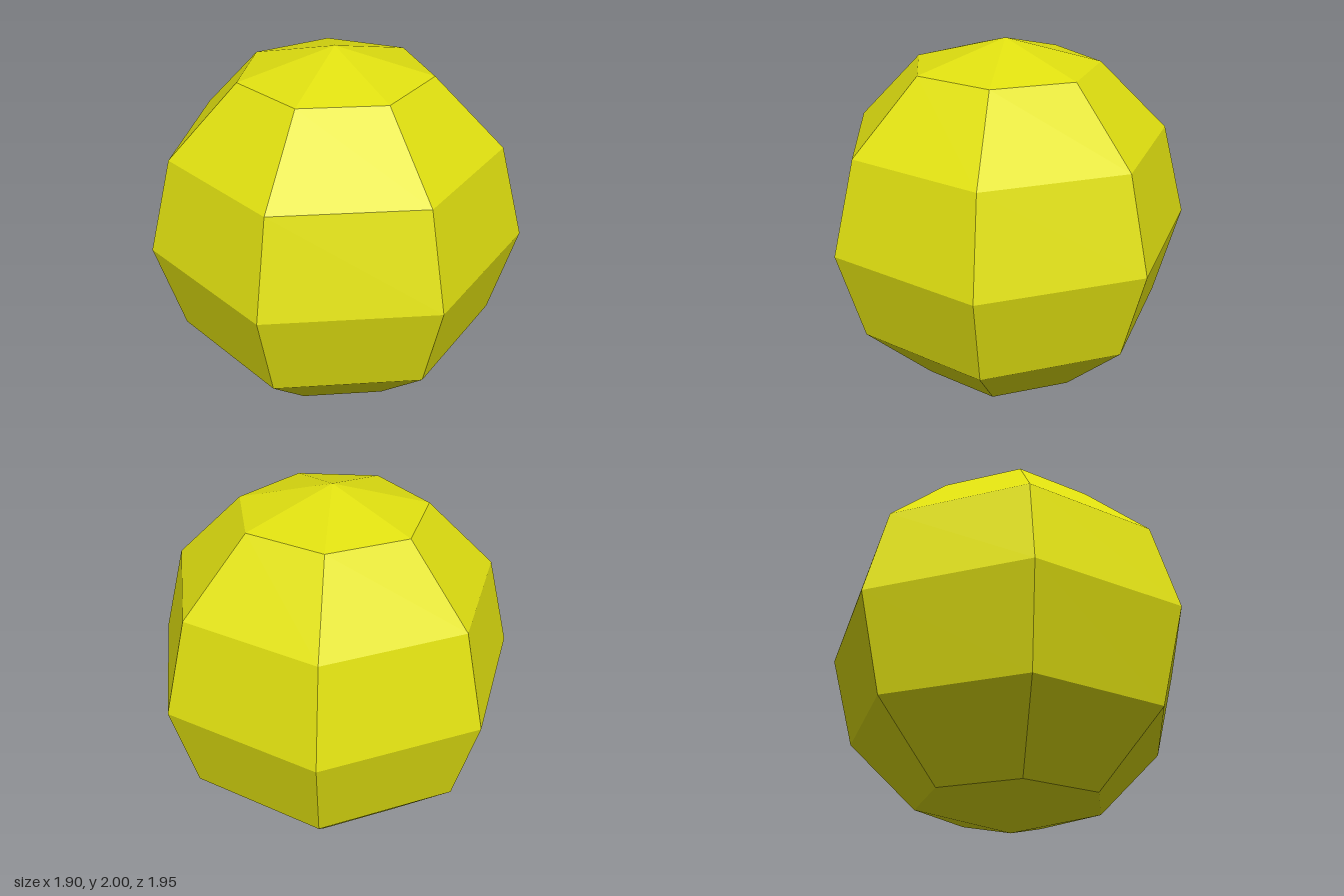
import * as THREE from 'three';

export function createModel() {
  const group = new THREE.Group();
  group.name = 'facetedBall';

  const yellow = new THREE.MeshStandardMaterial({ color: 0xe0e010 });
  yellow.name = 'yellow';
  yellow.flatShading = true;

  // Seven-sided ball in six bands, with one corner pointing to +x
  const sides = 7;
  const geometry = new THREE.SphereGeometry(1, sides, 6, Math.PI);
  const ball = new THREE.Mesh(geometry, yellow);
  ball.name = 'ball';

  // An odd side count reaches further on +x, so shift to centre it
  ball.position.set(-(1 - Math.cos(Math.PI / sides)) / 2, 1, 0);
  group.add(ball);

  return group;
}
